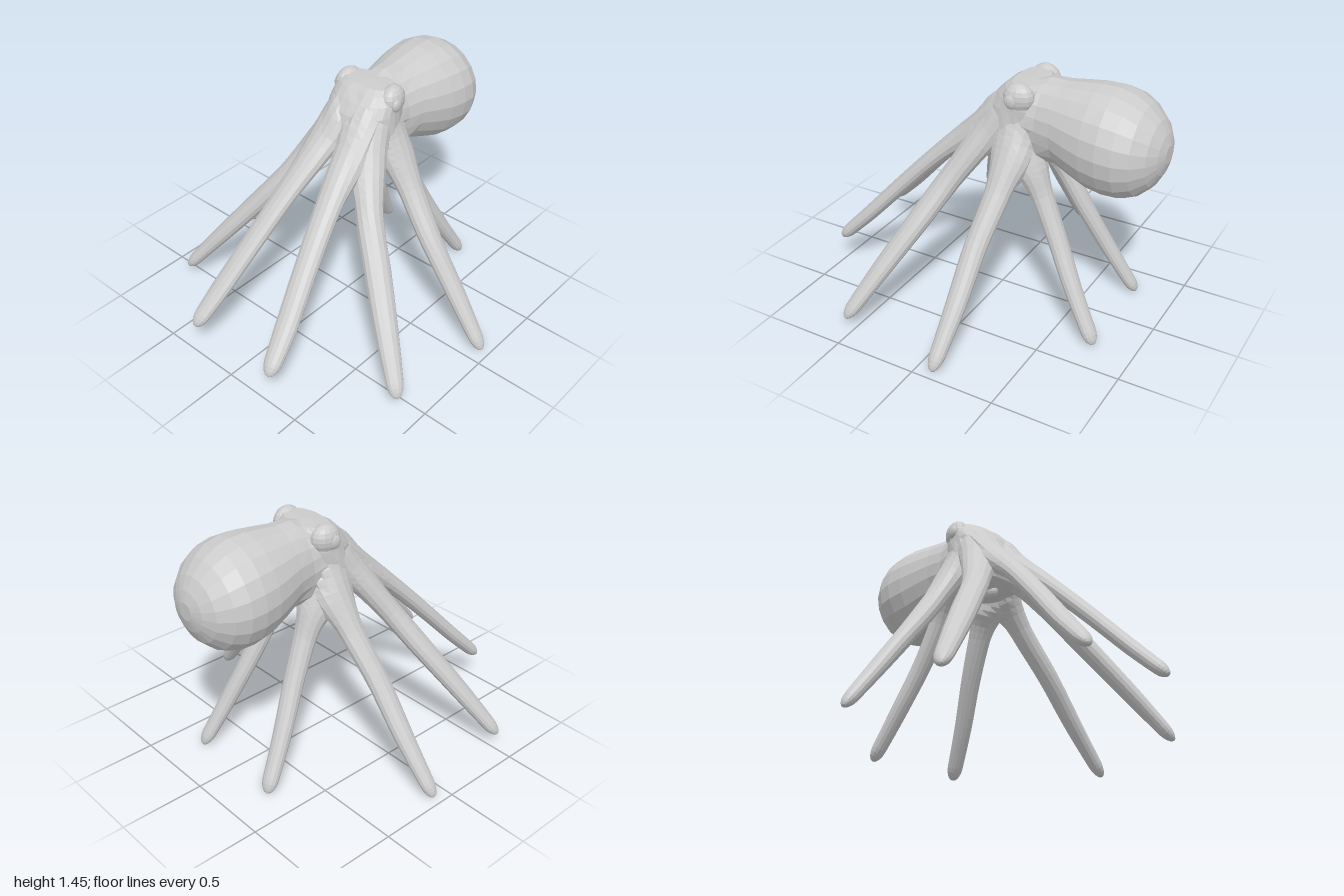
import * as THREE from 'three';

const V = (x, y, z) => new THREE.Vector3(x, y, z);
const skin = new THREE.MeshStandardMaterial({ color: 0xcccccc, flatShading: true });
const BLEND = 0.1;

// How far a point swells outward to form a soft fillet where it nears other parts
function fillet(p, others) {
  let d = Infinity;
  for (const { rings } of others) {
    for (const { c, u, v } of rings) {
      d = Math.min(d, p.distanceTo(c) - Math.min(u.length(), v.length()));
    }
  }
  const h = Math.max(0, 1 - Math.abs(d) / BLEND);
  return h * h * BLEND / 4;
}

// Closed skin over elliptical rings; each ring is { c, u, v }, advancing along u x v
function loft({ rings, sides }, others) {
  const pos = [], index = [];
  rings.forEach(({ c, u, v }, i) => {
    for (let j = 0; j < sides; j++) {
      const a = (j / sides) * Math.PI * 2;
      const out = u.clone().multiplyScalar(Math.cos(a)).addScaledVector(v, Math.sin(a));
      const p = c.clone().add(out);
      p.addScaledVector(out.normalize(), fillet(p, others));
      pos.push(p.x, p.y, p.z);
      if (i === rings.length - 1) continue;
      const k = (j + 1) % sides, r = i * sides, s = r + sides;
      index.push(r + j, r + k, s + j, r + k, s + k, s + j);
    }
  });
  const g = new THREE.BufferGeometry();
  g.setAttribute('position', new THREE.Float32BufferAttribute(pos, 3));
  g.setIndex(index);
  g.computeVertexNormals();
  return g;
}

function add(group, name, geometry) {
  const mesh = new THREE.Mesh(geometry, skin);
  mesh.name = name;
  group.add(mesh);
  return mesh;
}

function blob(group, name, center, scale, turnY = 0) {
  const mesh = add(group, name, new THREE.SphereGeometry(1, 14, 10));
  mesh.position.set(...center);
  mesh.scale.set(...scale);
  mesh.rotation.y = turnY;
}

// Tapered arm with a round tip; points are [x, y, z, half width, half thickness]
function armRings(points, side) {
  const path = new THREE.CatmullRomCurve3(points.map(p => V(p[0] * side, p[1], p[2])));
  const size = new THREE.CatmullRomCurve3(points.map(p => V(p[3], p[4], 0)));
  const steps = [];
  for (let i = 0; i <= 24; i++) steps.push(i / 24 * 0.95);
  steps.push(0.966, 0.98, 0.99, 0.997, 1);
  return steps.map(t => {
    const dir = path.getTangent(t), r = size.getPoint(t);
    const cap = t > 0.95 ? Math.sqrt(Math.max(0, 1 - ((t - 0.95) / 0.05) ** 2)) : 1;
    const u = V(0, 1, 0).cross(dir).normalize();
    const v = dir.clone().cross(u);
    return { c: path.getPoint(t), u: u.multiplyScalar(r.x * cap), v: v.multiplyScalar(r.y * cap) };
  });
}

export function createModel() {
  const model = new THREE.Group();
  model.name = 'octopus';

  // Mantle: z, bottom y, top y, half width
  const mantle = [
    [-0.12, 1.08, 1.36, 0.13], [-0.2, 1.01, 1.4, 0.18], [-0.3, 0.96, 1.415, 0.2],
    [-0.4, 0.945, 1.43, 0.225], [-0.5, 0.9, 1.443, 0.258], [-0.6, 0.86, 1.455, 0.286],
    [-0.7, 0.845, 1.455, 0.3], [-0.79, 0.848, 1.436, 0.292], [-0.87, 0.88, 1.39, 0.255],
    [-0.94, 0.945, 1.32, 0.19], [-0.98, 1.02, 1.25, 0.12], [-1, 1.09, 1.19, 0.05], [-1, 1.14, 1.14, 0],
  ].map(([z, lo, hi, w]) =>
    ({ c: V(0, (lo + hi) / 2, z), u: V(-w, 0, 0), v: V(0, (hi - lo) / 2, 0) }));

  // Head: y, centre z, half width, half depth
  const head = [
    [0.94, -0.12, 0, 0], [0.955, -0.12, 0.1, 0.1], [1.0, -0.12, 0.19, 0.17],
    [1.08, -0.12, 0.215, 0.19], [1.18, -0.13, 0.2, 0.19], [1.28, -0.15, 0.205, 0.16],
    [1.34, -0.165, 0.212, 0.13], [1.385, -0.18, 0.2, 0.1], [1.41, -0.19, 0.17, 0.075],
    [1.415, -0.19, 0, 0],
  ].map(([y, z, w, d]) => ({ c: V(0, y, z), u: V(0, 0, d), v: V(w, 0, 0) }));

  const arms = {
    frontArm: [
      [0.065, 1.33, -0.13, 0.08, 0.06], [0.08, 1.22, -0.025, 0.09, 0.065], [0.105, 1.06, 0.135, 0.09, 0.066],
      [0.15, 0.85, 0.36, 0.075, 0.052], [0.2, 0.62, 0.58, 0.07, 0.048], [0.255, 0.38, 0.8, 0.066, 0.045],
      [0.297, 0.185, 0.99, 0.048, 0.038],
    ],
    frontSideArm: [
      [0.11, 1.24, -0.09, 0.08, 0.07], [0.19, 1.04, 0.035, 0.092, 0.075], [0.31, 0.82, 0.17, 0.078, 0.064],
      [0.48, 0.58, 0.295, 0.076, 0.058], [0.66, 0.33, 0.425, 0.066, 0.05], [0.853, 0.06, 0.56, 0.045, 0.036],
    ],
    backSideArm: [
      [0.1, 1.21, -0.16, 0.1, 0.08], [0.21, 1.03, -0.17, 0.105, 0.078], [0.34, 0.83, -0.158, 0.078, 0.062],
      [0.53, 0.57, -0.125, 0.068, 0.056], [0.73, 0.3, -0.115, 0.06, 0.048], [0.952, 0.008, -0.095, 0.042, 0.036],
    ],
    backArm: [
      [0.12, 1.1, -0.17, 0.08, 0.08], [0.145, 0.95, -0.26, 0.09, 0.08], [0.158, 0.78, -0.345, 0.068, 0.06],
      [0.19, 0.55, -0.46, 0.06, 0.052], [0.245, 0.29, -0.595, 0.054, 0.047], [0.303, 0.005, -0.76, 0.046, 0.036],
    ],
  };

  const parts = [
    { name: 'mantle', rings: mantle, sides: 20 },
    { name: 'head', rings: head, sides: 24 },
  ];
  for (const side of [1, -1]) {
    const label = side > 0 ? 'left' : 'right';
    for (const [name, points] of Object.entries(arms)) {
      parts.push({ name: `${label} ${name}`, rings: armRings(points, side), sides: 14 });
    }
    // Brow ridge with the eye set into its outer face
    blob(model, `${label} brow`, [0.158 * side, 1.345, -0.19], [0.064, 0.085, 0.09], 0.15 * side);
    blob(model, `${label} eye`, [0.207 * side, 1.335, -0.17], [0.022, 0.042, 0.042], 0.15 * side);
  }
  for (const part of parts) {
    add(model, part.name, loft(part, parts.filter(other => other !== part)));
  }
  blob(model, 'mouth', [0, 0.955, -0.05], [0.035, 0.045, 0.045]);
  return model;
}
